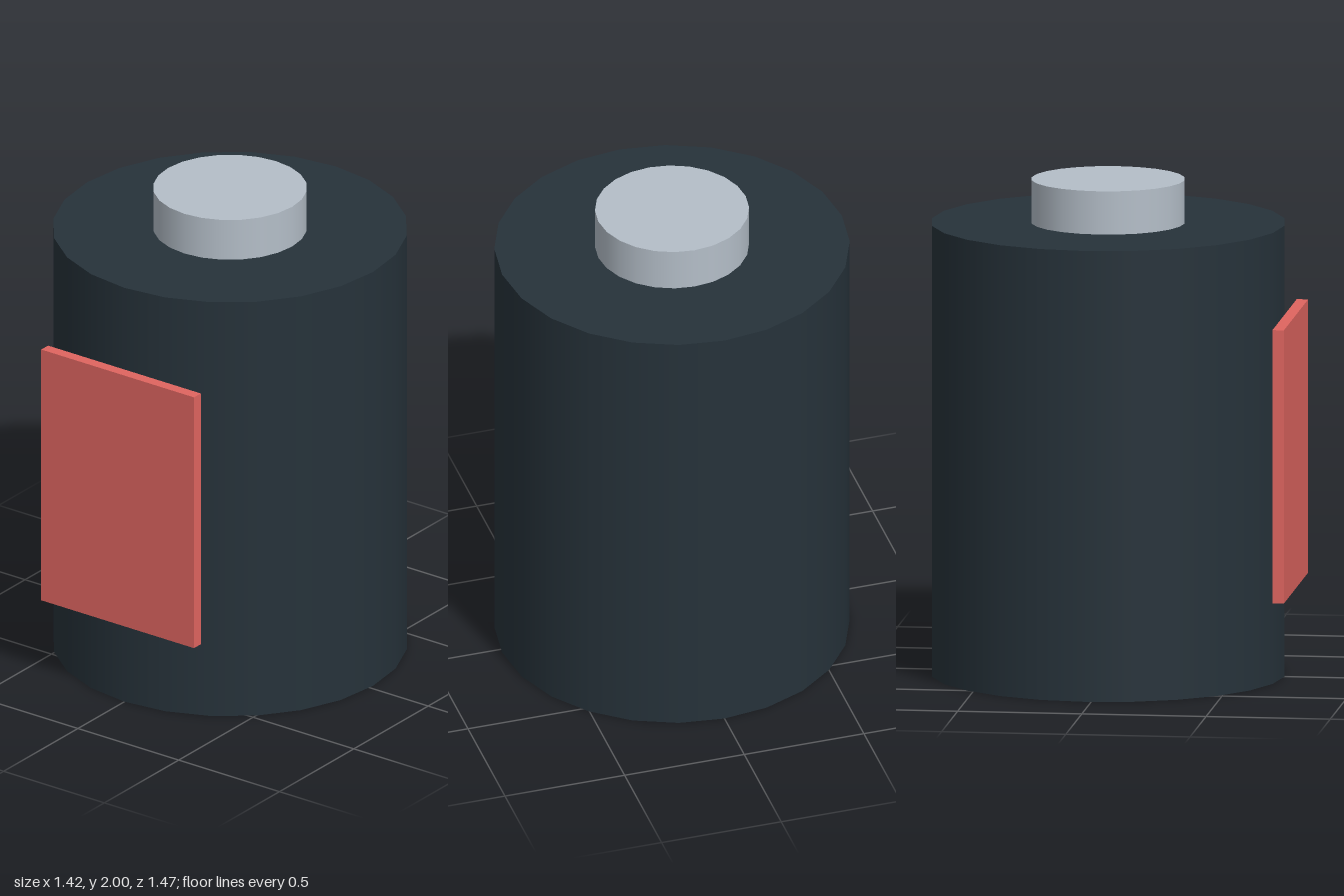
import * as THREE from 'three';

export function createModel() {
  const model = new THREE.Group();
  model.name = 'battery';

  const material = (name, color) => {
    const m = new THREE.MeshStandardMaterial({ color });
    m.name = name;
    return m;
  };
  const casing = material('dark casing', 0x26323a);
  const metal = material('grey metal', 0xb4bec8);
  const red = material('red label', 0xdf6560);

  const add = (name, geometry, mat, x, y, z) => {
    const mesh = new THREE.Mesh(geometry, mat);
    mesh.name = name;
    mesh.position.set(x, y, z);
    model.add(mesh);
  };

  const axisZ = -0.023; // the cell sits slightly back to balance the label
  const radius = 0.71, height = 1.825, labelDepth = 0.046;

  // Cell body and its raised terminal
  add('body', new THREE.CylinderGeometry(radius, radius, height, 24), casing, 0, height / 2, axisZ);
  add('terminal', new THREE.CylinderGeometry(0.308, 0.308, 2 - height, 24), metal, 0, (2 + height) / 2, axisZ);

  // Flat label plate touching the front of the body
  add('label', new THREE.BoxGeometry(0.758, 1.106, labelDepth), red, 0, 0.912, axisZ + radius + labelDepth / 2);

  return model;
}
